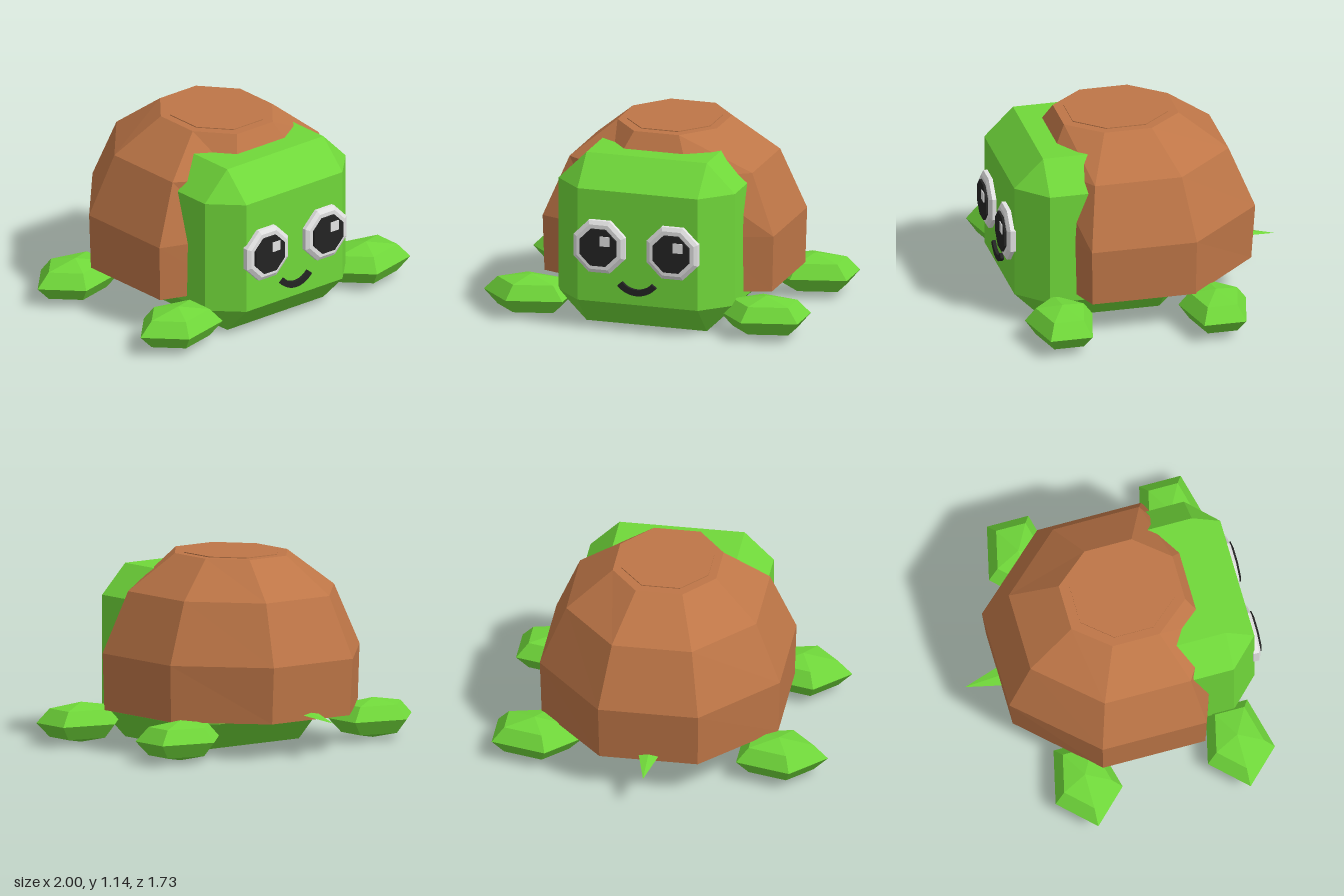
import * as THREE from 'three';
import { ConvexGeometry } from 'three/addons/geometries/ConvexGeometry.js';

const CX = 0.026; // middle line of body and shell

function mat(name, color, flat = true) {
  const m = new THREE.MeshStandardMaterial({ color, flatShading: flat });
  m.name = name;
  return m;
}

// Box with 45 degree chamfers on every edge
function chamferBox(w, h, d, c) {
  const pts = [];
  for (const x of [-1, 1]) for (const y of [-1, 1]) for (const z of [-1, 1]) {
    const [a, b, e] = [w / 2, h / 2, d / 2];
    pts.push(new THREE.Vector3(x * a, y * (b - c), z * (e - c)));
    pts.push(new THREE.Vector3(x * (a - c), y * b, z * (e - c)));
    pts.push(new THREE.Vector3(x * (a - c), y * (b - c), z * e));
  }
  return new ConvexGeometry(pts);
}

// Octagonal loops stacked from bottom to top, capped at both ends
function loft(rings) {
  const loops = rings.map(({ y, hx, sz, sx, back, front }) => [
    [hx, 0.1 + sz], [sx, front], [-sx, front], [-hx, 0.1 + sz],
    [-hx, 0.1 - sz], [-sx, back], [sx, back], [hx, 0.1 - sz],
  ].map(([x, z]) => [x + CX, y, z]));
  const v = [];
  const tri = (...p) => p.forEach((q) => v.push(...q));
  for (let r = 0; r < loops.length - 1; r++) {
    const a = loops[r], b = loops[r + 1];
    for (let i = 0; i < 8; i++) {
      const j = (i + 1) % 8;
      tri(a[i], b[i], b[j]);
      tri(a[i], b[j], a[j]);
    }
  }
  const bot = loops[0], top = loops[loops.length - 1];
  for (let i = 0; i < 8; i++) {
    const j = (i + 1) % 8;
    tri([CX, bot[0][1], 0.1], bot[i], bot[j]);
    tri([CX, top[0][1], 0.1], top[j], top[i]);
  }
  const g = new THREE.BufferGeometry();
  g.setAttribute('position', new THREE.Float32BufferAttribute(v, 3));
  g.computeVertexNormals();
  return g;
}

// Octagonal disc facing +z, flat sides up, down, left and right
function octDisc(apothem, apothemFront, depth) {
  const k = 1 / Math.cos(Math.PI / 8);
  return new THREE.CylinderGeometry(apothemFront * k, apothem * k, depth, 8)
    .rotateY(Math.PI / 8).rotateX(Math.PI / 2);
}

export function createModel() {
  const group = new THREE.Group();
  const green = mat('skin green', 0x70d83a);
  const brown = mat('shell brown', 0xbe7647);
  const white = mat('eye white', 0xe4e4e4);
  const black = mat('pupil black', 0x242424);

  const add = (name, geo, material, x = 0, y = 0, z = 0, parent = group) => {
    const m = new THREE.Mesh(geo, material);
    m.name = name;
    m.position.set(x, y, z);
    parent.add(m);
    return m;
  };

  // Head and body in one chamfered block
  add('headAndBody', chamferBox(1.1, 1.04, 1.06, 0.175), green, CX, 0.52, 0.28);

  // Domed shell, its front flattened inside the head
  add('shell', loft([
    { y: 0.215, hx: 0.71, sz: 0.315, sx: 0.295, back: -0.655, front: 0.565 },
    { y: 0.555, hx: 0.72, sz: 0.32, sx: 0.3, back: -0.678, front: 0.57 },
    { y: 0.92, hx: 0.57, sz: 0.265, sx: 0.24, back: -0.53, front: 0.57 },
    { y: 1.138, hx: 0.31, sz: 0.145, sx: 0.14, back: -0.25, front: 0.45 },
  ]), brown);
  add('shellTopPlate', loft([
    { y: 1.136, hx: 0.26, sz: 0.12, sx: 0.115, back: -0.19, front: 0.39 },
    { y: 1.143, hx: 0.26, sz: 0.12, sx: 0.115, back: -0.19, front: 0.39 },
  ]), brown);

  // Four flippers, all pointing the same way
  const foot = new THREE.SphereGeometry(1, 5, 4).scale(0.294, 0.12, 0.217);
  for (const [side, x] of [['left', 0.76], ['right', -0.706]])
    for (const [end, z] of [['Front', 0.605], ['Back', -0.332]])
      add(side + end + 'Foot', foot, green, x, 0.125, z);

  // Flat pointed tail, tipped slightly down
  const tail = add('tail', new THREE.ConeGeometry(0.075, 0.27, 4).rotateX(-Math.PI / 2)
    .scale(1, 0.2, 1), green, CX, 0.236, -0.732);
  tail.rotation.x = -0.14;

  // Eyes with pupil and square glint
  for (const [name, x] of [['rightEye', -0.205], ['leftEye', 0.25]]) {
    const eye = new THREE.Group();
    eye.name = name;
    eye.position.set(x, 0.523, 0);
    group.add(eye);
    add('eyeRim', octDisc(0.16, 0.16, 0.035), white, 0, 0, 0.8175, eye);
    add('eyeBevel', octDisc(0.16, 0.137, 0.014), white, 0, 0, 0.842, eye);
    add('pupil', octDisc(0.113, 0.113, 0.014), black, 0, 0, 0.856, eye);
    add('glint', new THREE.BoxGeometry(0.06, 0.06, 0.006), white, 0.043, 0.043, 0.865, eye);
  }

  // Smile: an extruded arc band
  const a0 = Math.PI * 1.5 - 0.87, a1 = Math.PI * 1.5 + 0.87;
  const band = new THREE.Shape();
  band.absarc(0, 0, 0.158, a0, a1, false);
  band.absarc(0, 0, 0.12, a1, a0, true);
  add('smile', new THREE.ExtrudeGeometry(band, { depth: 0.025, bevelEnabled: false, curveSegments: 10 }),
    black, CX, 0.394, 0.805);

  return group;
}
